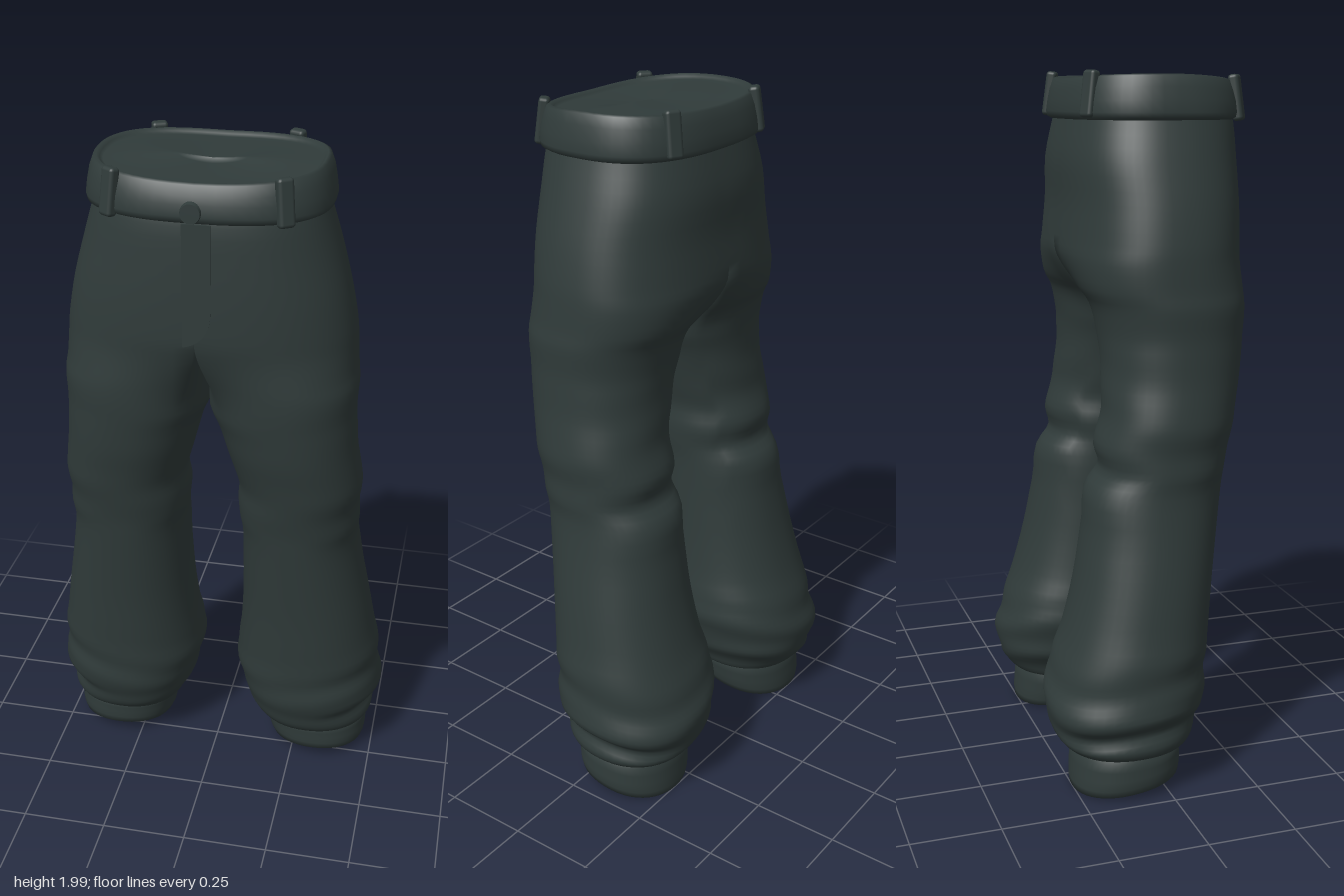
import * as THREE from 'three';
import { RoundedBoxGeometry } from 'three/addons/geometries/RoundedBoxGeometry.js';

const OUT = 36, INN = 14; // ring points on the outer and inner side of a leg
const V = (x, y, z) => new THREE.Vector3(x, y, z);
const spow = (v, n) => Math.sign(v) * Math.pow(Math.abs(v), 2 / n);

// Skin a stack of closed rings, top to bottom
function loft(rings, flip = false) {
  const n = rings[0].length, pos = [], idx = [];
  rings.forEach(r => r.forEach(p => pos.push(p.x, p.y, p.z)));
  for (let r = 0; r < rings.length - 1; r++) {
    for (let i = 0; i < n; i++) {
      const j = (i + 1) % n;
      const a = r * n + i, b = r * n + j, c = a + n, d = b + n;
      if (flip) idx.push(a, c, b, b, c, d);
      else idx.push(a, b, c, b, d, c);
    }
  }
  const g = new THREE.BufferGeometry();
  g.setAttribute('position', new THREE.Float32BufferAttribute(pos, 3));
  g.setIndex(idx);
  g.computeVertexNormals();
  return g;
}

// Rows of [y, outer x, inner x, front z, back z], smoothed by splines
function smoothRows(rows, steps) {
  const cx = new THREE.CatmullRomCurve3(rows.map(r => V(r[1], r[0], r[2])), false, 'catmullrom', 0.5);
  const cz = new THREE.CatmullRomCurve3(rows.map(r => V(r[3], r[0], r[4])), false, 'catmullrom', 0.5);
  const n = (rows.length - 1) * steps, out = [];
  for (let i = 0; i <= n; i++) {
    const a = cx.getPoint(i / n), b = cz.getPoint(i / n);
    out.push([a.y, a.x, Math.max(0, a.z), b.x, b.z]);
  }
  return out;
}

// One half section: a D against the centre plane that turns into a full oval leg
function halfRing([y, xo, xi, zf, zb], side) {
  const zc = (zf + zb) / 2, rz = (zf - zb) / 2, cx = (xo + xi) / 2, rx = (xo - xi) / 2;
  const t = THREE.MathUtils.smoothstep(1.55 - y, 0, 0.26);
  const low = THREE.MathUtils.smoothstep(0.5 - y, 0, 0.2) * THREE.MathUtils.smoothstep(y, 0.12, 0.2);
  const knee = Math.exp(-Math.pow((y - 0.98) / 0.2, 2));
  const slope = 0.13 * THREE.MathUtils.smoothstep(0.16 - y, 0, 0.14);
  const ring = [];
  for (let i = 0; i < OUT + INN; i++) {
    const outer = i <= OUT, u = outer ? i / OUT : (i - OUT) / INN;
    const d = (u - 0.5) * Math.PI;
    const dx = outer ? xo * spow(Math.max(0, Math.cos(d)), 2.5) : 0;
    const dz = outer ? zc + rz * spow(Math.sin(d), 2.5) : zc + rz * (1 - 2 * u);
    const a = outer ? (u - 0.5) * Math.PI * 1.5 : Math.PI * (0.75 + 0.5 * u);
    // soft folds behind the knee and above the cuff
    const back = Math.max(0, -Math.sin(a));
    const k = 1 + 0.02 * knee * back * Math.sin(y * 42 + a * 1.5) + 0.012 * low * Math.sin(y * 60 + a * 2);
    const lx = cx + rx * k * spow(Math.cos(a), 2.2);
    const lz = zc + rz * k * spow(Math.sin(a), 2.2);
    const x = THREE.MathUtils.lerp(dx, lx, t), z = THREE.MathUtils.lerp(dz, lz, t);
    const py = y + slope * (z - zb) + 0.014 * low * Math.sin(a * 2 + 0.6);
    ring.push(V(side * x, py, z));
  }
  return ring;
}

const HIPS = [
  [1.93, 0.295, 0, 0.28, -0.155], [1.86, 0.315, 0, 0.298, -0.172], [1.76, 0.345, 0, 0.303, -0.19],
  [1.65, 0.375, 0, 0.305, -0.188], [1.55, 0.395, 0, 0.304, -0.195], [1.49, 0.402, 0, 0.3, -0.198],
  [1.42, 0.407, 0, 0.296, -0.178], [1.37, 0.413, 0, 0.29, -0.145], [1.3, 0.41, 0, 0.28, -0.125],
];
const LEG = [
  [1.24, 0.413, 0.025, 0.272, -0.12], [1.17, 0.418, 0.045, 0.262, -0.12], [1.1, 0.428, 0.065, 0.247, -0.125],
  [1.04, 0.435, 0.08, 0.236, -0.138], [0.98, 0.428, 0.076, 0.224, -0.148], [0.92, 0.431, 0.08, 0.212, -0.142],
  [0.86, 0.428, 0.086, 0.204, -0.18], [0.74, 0.445, 0.086, 0.188, -0.195], [0.6, 0.47, 0.082, 0.17, -0.22],
  [0.48, 0.49, 0.073, 0.158, -0.25], [0.4, 0.505, 0.062, 0.15, -0.278], [0.34, 0.5, 0.06, 0.145, -0.296],
  [0.29, 0.515, 0.07, 0.142, -0.31], [0.245, 0.515, 0.085, 0.135, -0.312], [0.205, 0.482, 0.092, 0.118, -0.3],
  [0.165, 0.495, 0.12, 0.105, -0.285], [0.135, 0.48, 0.135, 0.085, -0.262], [0.125, 0.45, 0.17, 0.05, -0.23],
];
const CUFF = [
  [0.15, 0.455, 0.165, 0.055, -0.23], [0.12, 0.474, 0.152, 0.066, -0.246], [0.09, 0.472, 0.157, 0.064, -0.248],
  [0.06, 0.476, 0.16, 0.064, -0.25], [0.03, 0.474, 0.165, 0.063, -0.252], [0.01, 0.468, 0.174, 0.06, -0.25],
  [0.012, 0.455, 0.187, 0.047, -0.237], [0.05, 0.447, 0.195, 0.04, -0.23], [0.1, 0.44, 0.2, 0.035, -0.225],
  [0.11, 0.321, 0.319, -0.09, -0.092],
];

// Point on the waist outline; angle runs from +x towards +z
const waistPoint = (a, y, grow) => V(
  (0.313 + grow) * spow(Math.cos(a), 2.6), y, 0.062 + (0.232 + grow) * spow(Math.sin(a), 2.6));

export function createModel() {
  const cloth = new THREE.MeshStandardMaterial({ color: 0x303b3a });
  cloth.name = 'dark cloth';
  const model = new THREE.Group();
  model.name = 'trousers';
  const add = (geometry, name, parent = model) => {
    const m = new THREE.Mesh(geometry, cloth);
    m.name = name;
    parent.add(m);
    return m;
  };

  // Each half of the hips runs on into its leg and cuff
  const body = smoothRows([...HIPS, ...LEG], 3);
  for (const side of [1, -1]) {
    const half = new THREE.Group();
    half.name = side > 0 ? 'leftHalf' : 'rightHalf';
    model.add(half);
    const g = loft(body.map(r => halfRing(r, side)), side < 0);
    // Smooth shading across the centre seam
    const p = g.attributes.position, nrm = g.attributes.normal;
    for (let i = 0; i < p.count; i++) {
      if (Math.abs(p.getX(i)) > 1e-4 || p.getY(i) < 1.3) continue;
      const v = V(0, nrm.getY(i), nrm.getZ(i));
      if (v.length() < 1e-4) continue;
      v.normalize();
      nrm.setXYZ(i, v.x, v.y, v.z);
    }
    add(g, 'hipAndLeg', half);
    add(loft(CUFF.map(r => halfRing(r, side)), side < 0), 'cuff', half);
  }

  // Waistband, closed by a shallow sunken top
  const band = [
    [1.97, -0.22], [1.97, -0.1], [1.968, -0.03], [1.974, -0.022], [1.982, -0.014], [1.978, -0.005],
    [1.95, 0.005], [1.92, 0.012], [1.89, 0.016], [1.876, 0.013], [1.87, 0.002], [1.872, -0.015],
  ];
  const rings = band.map(([y, grow]) => {
    const ring = [];
    for (let i = 0; i < 56; i++) {
      const a = i / 56 * Math.PI * 2;
      const p = waistPoint(a, y, grow);
      // top edge dips a little at the front
      if (y > 1.94) p.y -= 0.012 * Math.max(0, Math.sin(a)) - 0.008 * Math.abs(Math.cos(a));
      ring.push(p);
    }
    return ring;
  });
  const centre = rings[0].map(() => V(0, 1.97, 0.062));
  add(loft([centre, ...rings]), 'waistband');

  // Belt loops, two in front and two behind
  for (const side of [1, -1]) {
    for (const [x, z, yaw, y, name] of [
      [0.225, 0.262, 0.62, 1.928, 'frontBeltLoop'], [0.195, -0.148, Math.PI - 0.45, 1.938, 'backBeltLoop']]) {
      const loop = add(new RoundedBoxGeometry(0.045, 0.125, 0.03, 2, 0.01), name);
      loop.position.set(side * x, y, z);
      loop.rotation.order = 'YXZ';
      loop.rotation.set(-0.14, side * yaw, 0);
    }
  }

  // Waist button
  const button = add(new THREE.CylinderGeometry(0.026, 0.03, 0.016, 20), 'button');
  button.rotation.x = Math.PI / 2;
  button.position.set(-0.005, 1.9, 0.308);

  // Fly flap with a curved lower end
  const fly = new THREE.Shape();
  fly.moveTo(-0.03, 1.87);
  fly.lineTo(-0.03, 1.535);
  fly.quadraticCurveTo(0.045, 1.55, 0.045, 1.64);
  fly.lineTo(0.045, 1.87);
  const flap = add(new THREE.ExtrudeGeometry(fly, { depth: 0.006, bevelEnabled: false, curveSegments: 10 }), 'fly');
  flap.position.z = 0.3;

  return model;
}
